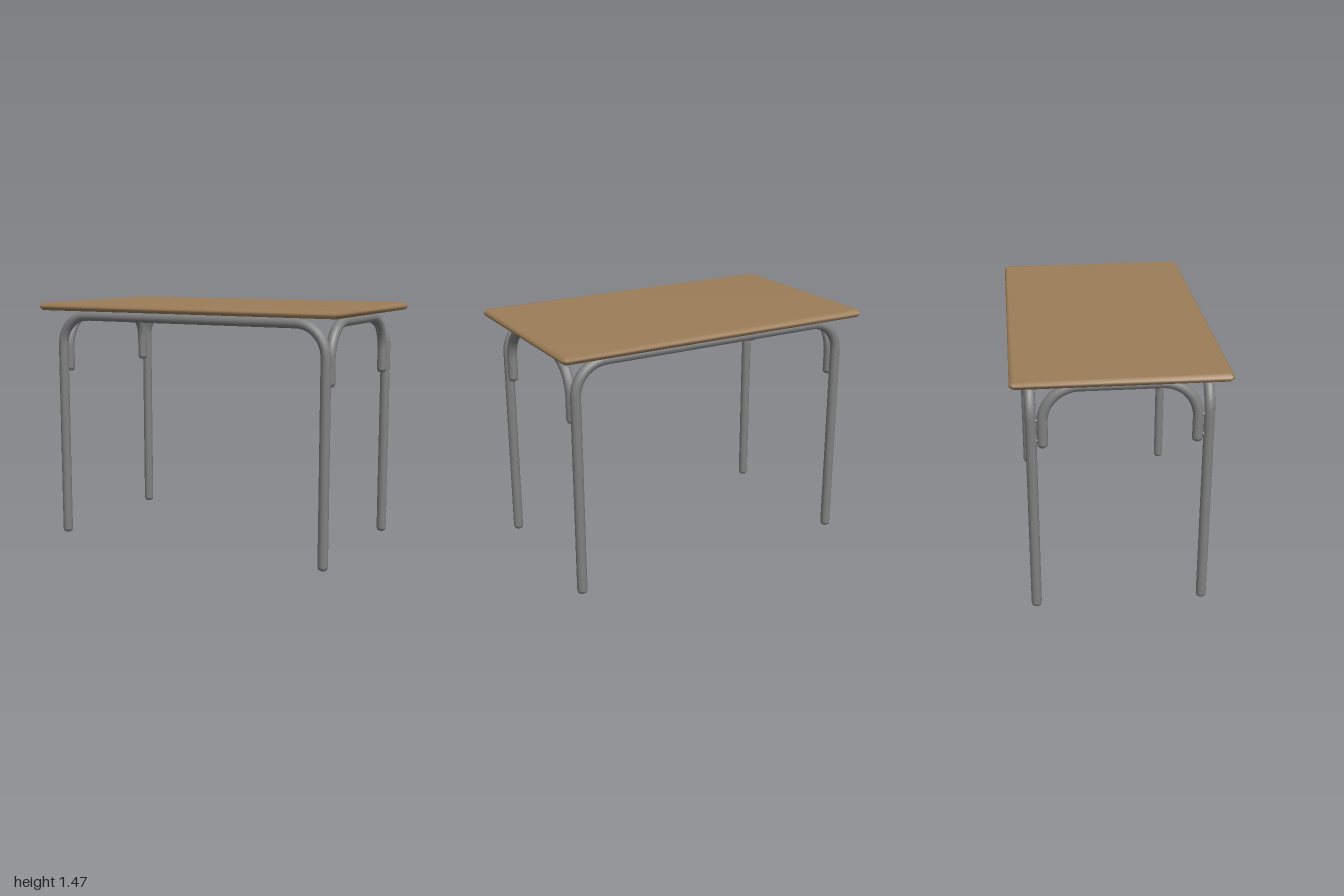
import * as THREE from 'three';
import { mergeVertices } from 'three/addons/utils/BufferGeometryUtils.js';

const wood = new THREE.MeshStandardMaterial({ name: 'wood', color: 0x9c7d58 });
const steel = new THREE.MeshStandardMaterial({ name: 'greySteel', color: 0x808080 });

const R = 0.03; // tube radius
const TOP_Y = 1.395; // centre line of the horizontal rails
const LEG_X = 0.89, LONG_Z = 0.487, SHORT_Z = 0.425;

function addMesh(parent, name, geometry, material, x = 0, y = 0, z = 0) {
  const mesh = new THREE.Mesh(geometry, material);
  mesh.name = name;
  mesh.position.set(x, y, z);
  parent.add(mesh);
  return mesh;
}

// Upside-down U of bent tube in the XY plane, with rounded-off ends
function bentFrame(name, half, bottom, bend) {
  const group = new THREE.Group();
  group.name = name;
  const v = (x, y) => new THREE.Vector3(x, y, 0);
  const k = bend * 0.4477; // handle inset that makes a near-circular bend
  const low = TOP_Y - bend, inner = half - bend, start = bottom + 0.02;
  const path = new THREE.CurvePath();
  path.add(new THREE.LineCurve3(v(-half, start), v(-half, low)));
  path.add(new THREE.CubicBezierCurve3(v(-half, low), v(-half, TOP_Y - k), v(-half + k, TOP_Y), v(-inner, TOP_Y)));
  path.add(new THREE.LineCurve3(v(-inner, TOP_Y), v(inner, TOP_Y)));
  path.add(new THREE.CubicBezierCurve3(v(inner, TOP_Y), v(half - k, TOP_Y), v(half, TOP_Y - k), v(half, low)));
  path.add(new THREE.LineCurve3(v(half, low), v(half, start)));
  addMesh(group, 'bentTube', new THREE.TubeGeometry(path, 120, R, 12), steel);

  const profile = [[0, 0], [0.017, 0], [0.026, 0.007], [R, 0.02]].map(p => new THREE.Vector2(...p));
  for (const side of [-1, 1]) {
    addMesh(group, 'tubeEnd', new THREE.LatheGeometry(profile, 12), steel, side * half, bottom, 0);
  }
  return group;
}

// Thin slab with chamfered edges and soft normals
function tabletopGeometry() {
  const bevel = 0.015, x = 1 - bevel, z = 0.594 - bevel, c = 0.012;
  const shape = new THREE.Shape([
    [-x + c, -z], [x - c, -z], [x, -z + c], [x, z - c],
    [x - c, z], [-x + c, z], [-x, z - c], [-x, -z + c],
  ].map(p => new THREE.Vector2(...p)));
  let geometry = new THREE.ExtrudeGeometry(shape, {
    depth: 0.012, bevelEnabled: true, bevelThickness: 0.015, bevelSize: bevel, bevelSegments: 1,
  });
  geometry.rotateX(-Math.PI / 2);
  geometry.deleteAttribute('normal');
  geometry.deleteAttribute('uv');
  geometry = mergeVertices(geometry, 1e-4);
  geometry.computeVertexNormals();
  return geometry;
}

export function createModel() {
  const table = new THREE.Group();
  table.name = 'table';

  addMesh(table, 'tabletop', tabletopGeometry(), wood, 0, 1.443, 0);

  for (const s of [-1, 1]) {
    // Long frames form the legs; short frames brace the two ends
    const legs = bentFrame(s > 0 ? 'frontLegFrame' : 'backLegFrame', LEG_X, 0, 0.185);
    legs.position.z = s * LONG_Z;
    table.add(legs);

    const brace = bentFrame(s > 0 ? 'leftEndBrace' : 'rightEndBrace', SHORT_Z, 1.04, 0.205);
    brace.rotation.y = Math.PI / 2;
    brace.position.x = s * LEG_X;
    table.add(brace);

    // Pins joining each brace to its legs
    for (const t of [-1, 1]) {
      for (const y of [1.08, 1.2]) {
        const pin = addMesh(table, 'joiningPin', new THREE.CylinderGeometry(0.012, 0.012, LONG_Z - SHORT_Z, 8),
          steel, s * LEG_X, y, t * (LONG_Z + SHORT_Z) / 2);
        pin.rotation.x = Math.PI / 2;
      }
    }
  }
  return table;
}
